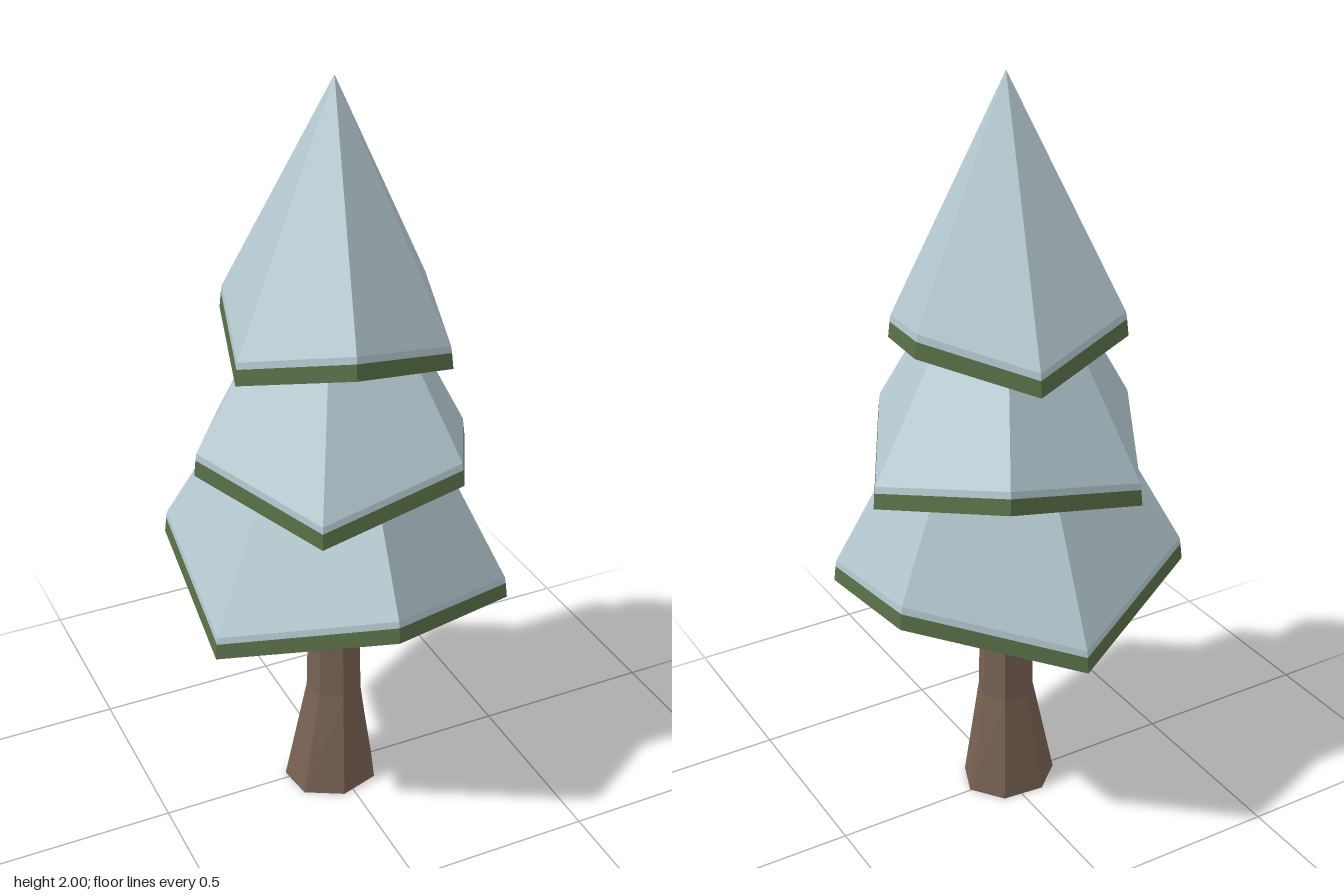
import * as THREE from 'three';

const material = (color) => new THREE.MeshStandardMaterial({ color, flatShading: true });

// Faceted skin through rings of equal point count, listed from bottom to top.
function loft(rings) {
  const pos = [];
  const tri = (a, b, c) => {
    if (a.equals(b) || b.equals(c) || a.equals(c)) return;
    for (const p of [a, b, c]) pos.push(p.x, p.y, p.z);
  };
  for (let k = 0; k + 1 < rings.length; k++) {
    const lo = rings[k], hi = rings[k + 1], n = lo.length;
    for (let i = 0; i < n; i++) {
      const j = (i + 1) % n;
      tri(lo[j], lo[i], hi[i]);
      tri(lo[j], hi[i], hi[j]);
    }
  }
  const geo = new THREE.BufferGeometry();
  geo.setAttribute('position', new THREE.Float32BufferAttribute(pos, 3));
  geo.computeVertexNormals();
  return geo;
}

// Ring of n points; every second point is lifted by zigzag.
function ring(n, r, y, startDeg, { zigzag = 0, cx = 0, cz = 0, flatten = 1 } = {}) {
  return Array.from({ length: n }, (_, i) => {
    const a = THREE.MathUtils.degToRad(startDeg + (i * 360) / n);
    return new THREE.Vector3(cx + r * Math.cos(a), y + (i % 2) * zigzag, cz + r * flatten * Math.sin(a));
  });
}

export function createModel() {
  const tree = new THREE.Group();
  tree.name = 'snowyTree';
  const snowMat = material(0xb4c8d0);
  const greenMat = material(0x5a7048);
  const barkMat = material(0x786253);

  const add = (parent, name, geo, mat) => {
    const mesh = new THREE.Mesh(geo, mat);
    mesh.name = name;
    parent.add(mesh);
  };

  // Seven-sided trunk, flared at the foot and slightly off centre
  const foot = { cx: -0.017, cz: 0.017, flatten: 0.87 };
  const upper = { cx: -0.006, cz: 0.012 };
  add(tree, 'trunk', loft([
    ring(7, 0, 0, -7, foot),
    ring(7, 0.132, 0, -7, foot),
    ring(7, 0.076, 0.3, -7, upper),
    ring(7, 0.066, 0.72, -7, upper),
    ring(7, 0, 0.72, -7, upper),
  ]), barkMat);

  // Three hexagonal tiers with corners alternately low and high
  const tiers = [
    { name: 'lowerTier', r: 0.458, y: 0.625, zigzag: 0.105, start: 34.7, apex: 1.57 },
    { name: 'middleTier', r: 0.382, y: 0.965, zigzag: 0.08, start: -1, apex: 1.73 },
    { name: 'upperTier', r: 0.305, y: 1.307, zigzag: 0.067, start: 45, apex: 2 },
  ];
  for (const { name, r, y, zigzag, start, apex } of tiers) {
    const tier = new THREE.Group();
    tier.name = name;
    const rim = (inset, lift) => ring(6, r - inset, y + lift, start, { zigzag });

    // Green boughs: underside and rim
    add(tier, 'boughs', loft([
      ring(6, 0, y + zigzag / 2, start),
      rim(0, 0),
      rim(0.005, 0.042),
    ]), greenMat);

    // Snow: thin edge band, then the slope up to the tip
    add(tier, 'snow', loft([
      rim(0.005, 0.042),
      rim(0.008, 0.06),
      ring(6, 0, apex, start),
    ]), snowMat);
    tree.add(tier);
  }
  return tree;
}
